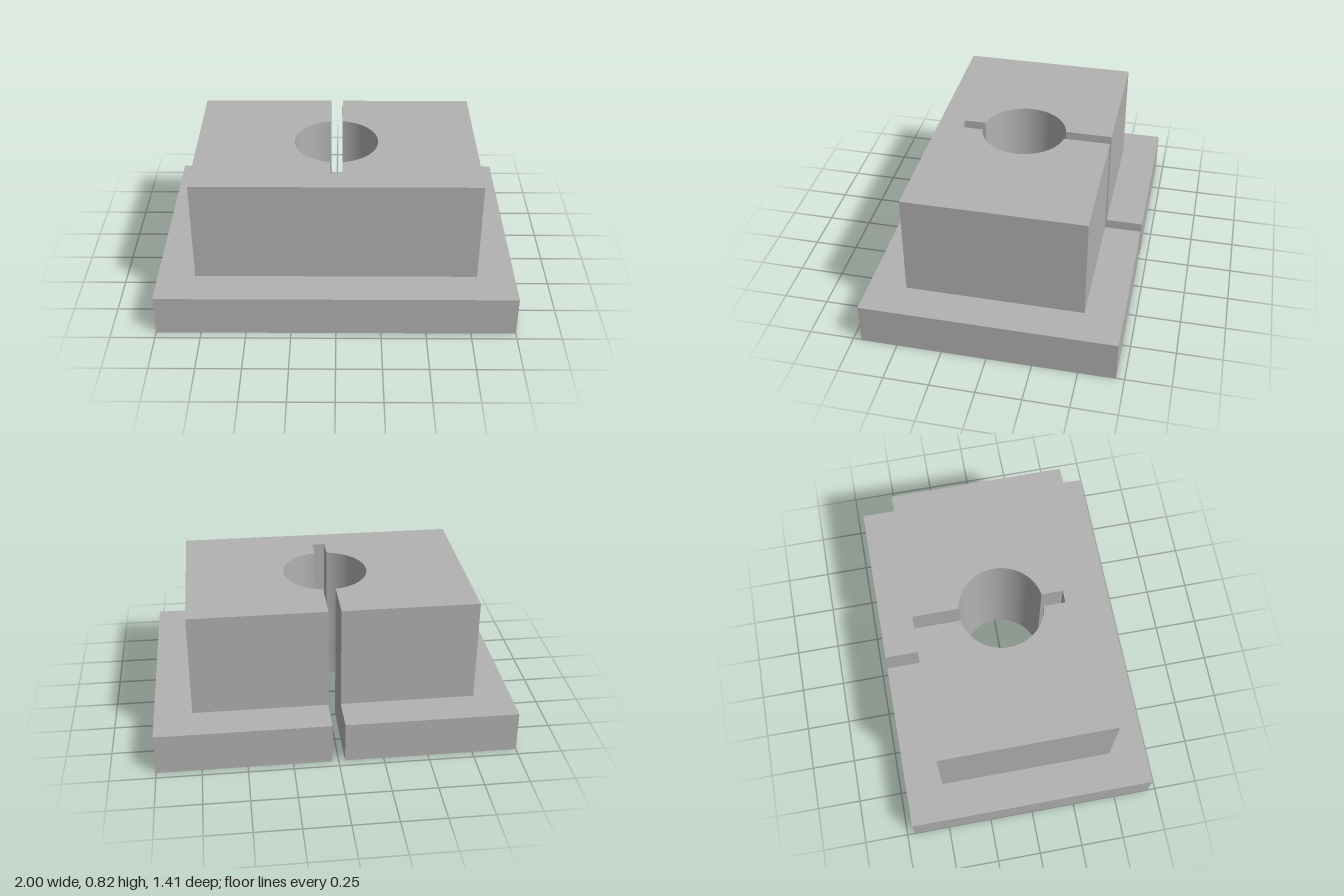
import * as THREE from 'three';
import { toCreasedNormals } from 'three/addons/utils/BufferGeometryUtils.js';

const BORE = 0.237;      // bore radius
const SLOT = 0.035;      // half width of the slot
const KEY_END = 0.355;   // front end of the keyway

// Rectangle with a central bore, a slot open to the back and a short front keyway
function slottedOutline(halfX, halfZ) {
  const a = Math.acos(SLOT / BORE);
  const shape = new THREE.Shape();
  shape.moveTo(-halfX, -halfZ);
  shape.lineTo(halfX, -halfZ);
  shape.lineTo(halfX, halfZ);
  shape.lineTo(SLOT, halfZ);
  shape.absarc(0, 0, BORE, a, -a, true);
  shape.lineTo(SLOT, -KEY_END);
  shape.lineTo(-SLOT, -KEY_END);
  shape.absarc(0, 0, BORE, a - Math.PI, Math.PI - a, true);
  shape.lineTo(-SLOT, halfZ);
  shape.lineTo(-halfX, halfZ);
  shape.closePath();
  return shape;
}

// Upright slab between two heights, smooth only around the bore
function slab(name, halfX, halfZ, bottom, top, material) {
  const extruded = new THREE.ExtrudeGeometry(slottedOutline(halfX, halfZ), {
    depth: top - bottom, bevelEnabled: false, curveSegments: 32,
  });
  extruded.rotateX(-Math.PI / 2).translate(0, bottom, 0);
  const mesh = new THREE.Mesh(toCreasedNormals(extruded, Math.PI / 6), material);
  mesh.name = name;
  return mesh;
}

export function createModel() {
  const grey = new THREE.MeshStandardMaterial({ color: 0xb2b2b2 });
  grey.name = 'grey';

  const model = new THREE.Group();
  model.name = 'slottedBlock';
  model.add(slab('basePlate', 1, 0.705, 0, 0.235, grey));
  model.add(slab('upperBlock', 0.79, 0.495, 0.235, 0.825, grey));
  return model;
}
